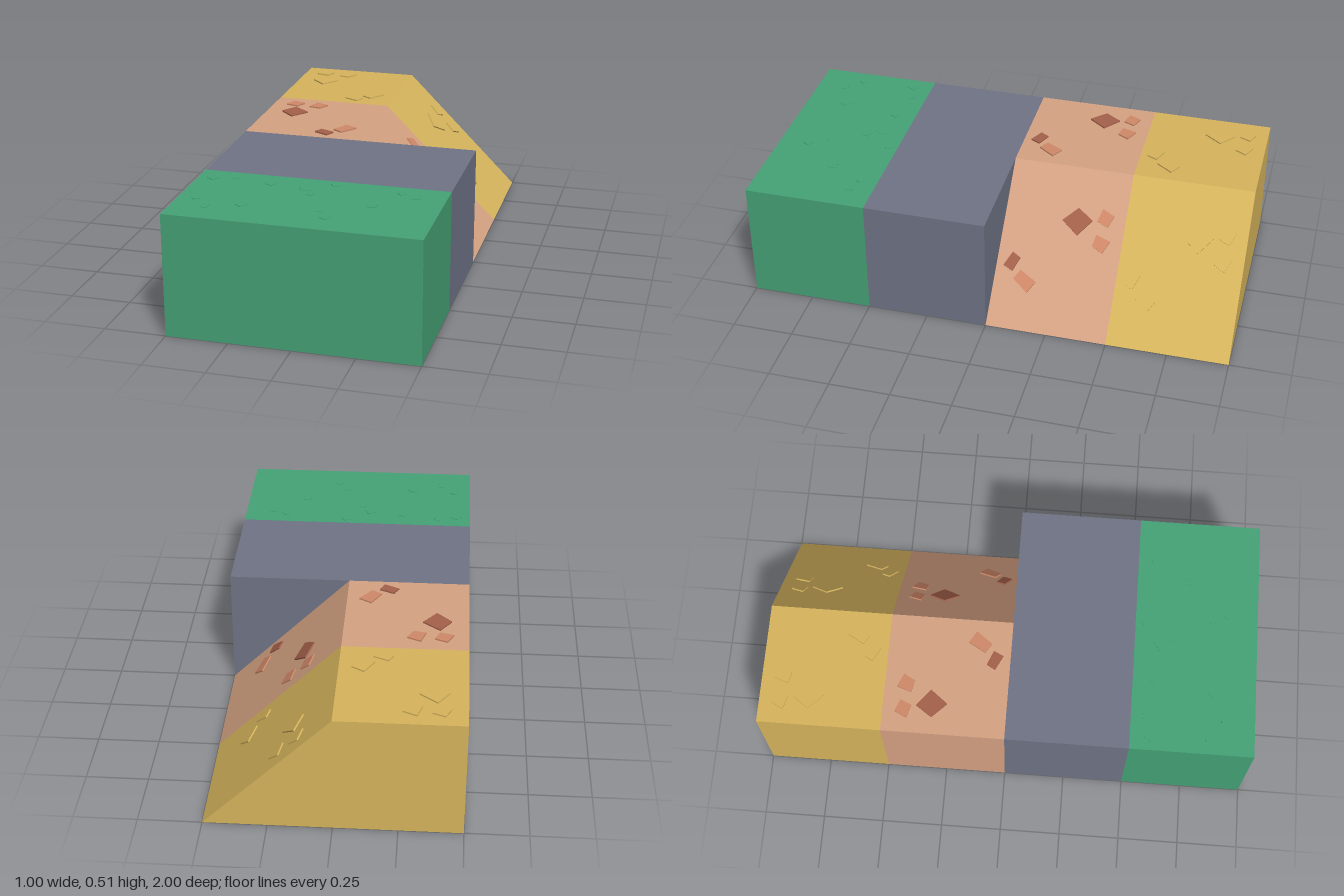
import * as THREE from 'three';

const mat = (name, color) => {
  const m = new THREE.MeshStandardMaterial({ color });
  m.name = name;
  return m;
};

// Stone outlines as (across, z) corners on the flat top
const STONES = [
  { tone: 'dark', pts: [[-0.43, -0.30], [-0.385, -0.365], [-0.315, -0.31], [-0.37, -0.24]] },
  { tone: 'light', pts: [[-0.44, -0.40], [-0.415, -0.45], [-0.365, -0.43], [-0.385, -0.385]] },
  { tone: 'light', pts: [[-0.33, -0.39], [-0.31, -0.45], [-0.255, -0.425], [-0.28, -0.38]] },
  { tone: 'light', pts: [[-0.10, -0.08], [-0.14, -0.105], [-0.10, -0.175], [-0.05, -0.145]] },
  { tone: 'dark', pts: [[-0.21, -0.06], [-0.19, -0.095], [-0.13, -0.07], [-0.15, -0.03]] },
];
const SLOPE_SHIFT = 0.6; // the slope repeats the flat pattern, measured down from the ridge

// Centres of the faint tufts on the green top
const TUFTS = [
  [-0.43, 0.81], [-0.37, 0.88], [-0.44, 0.58], [-0.355, 0.56], [-0.2, 0.59], [-0.055, 0.61],
  [-0.02, 0.66], [0.05, 0.54], [0.24, 0.72], [0.32, 0.57], [0.38, 0.6], [-0.24, 0.83],
  [0.06, 0.82], [0.1, 0.88],
];

// Prism from an x-y outline, running from z0 to z0 + 0.5
function segment(name, outline, z0, material) {
  const shape = new THREE.Shape(outline.map(([x, y]) => new THREE.Vector2(x, y)));
  const geo = new THREE.ExtrudeGeometry(shape, { depth: 0.5, bevelEnabled: false });
  geo.translate(0, 0, z0);
  const mesh = new THREE.Mesh(geo, material);
  mesh.name = name;
  return mesh;
}

// Thin plate lying in the x-z plane
function plate(name, pts, height, material) {
  const shape = new THREE.Shape(pts.map(([x, z]) => new THREE.Vector2(x, -z)));
  const geo = new THREE.ExtrudeGeometry(shape, { depth: height, bevelEnabled: false });
  geo.rotateX(-Math.PI / 2);
  const mesh = new THREE.Mesh(geo, material);
  mesh.name = name;
  return mesh;
}

// One set of five stones
function stoneSet(name, shift, tones) {
  const group = new THREE.Group();
  group.name = name;
  for (const { tone, pts } of STONES) {
    group.add(plate('stone', pts.map(([x, z]) => [x + shift, z]), 0.006, tones[tone]));
  }
  return group;
}

export function createModel() {
  const green = mat('grass green', 0x45a276);
  const slate = mat('slate grey', 0x707486);
  const clay = mat('clay', 0xd6a283);
  const sand = mat('sand yellow', 0xd7b55d);
  const lightStone = mat('light clay stone', 0xcf8968);
  const darkStone = mat('dark clay stone', 0xa5614a);

  const model = new THREE.Group();
  model.name = 'terrainBlocks';

  // Full blocks in front, sloped blocks behind
  const block = [[-0.5, 0], [0.5, 0], [0.5, 0.5], [-0.5, 0.5]];
  const ramp = [[-0.5, 0], [0.5, 0], [0, 0.5], [-0.5, 0.5]];
  model.add(
    segment('grassBlock', block, 0.5, green),
    segment('slateBlock', block, 0, slate),
    segment('clayRamp', ramp, -0.5, clay),
    segment('sandRamp', ramp, -1, sand),
  );

  // Stones on the flat top and on the slope of each ramp
  const sets = [
    ['clay', 0, { light: lightStone, dark: darkStone }],
    ['sand', -0.5, { light: sand, dark: sand }],
  ];
  for (const [name, z, tones] of sets) {
    const flat = stoneSet(name + 'TopStones', 0, tones);
    flat.position.set(0, 0.5, z);
    const slope = stoneSet(name + 'SlopeStones', SLOPE_SHIFT, tones);
    slope.position.set(0, 0.5, z);
    slope.rotation.z = -Math.PI / 4;
    model.add(flat, slope);
  }

  // Grass tufts
  const tufts = new THREE.Group();
  tufts.name = 'grassTufts';
  TUFTS.forEach(([x, z], i) => {
    const r = 0.018 + 0.004 * (i % 3);
    const pts = [0, 1, 2, 3].map((k) => {
      const a = i * 0.7 + (k * Math.PI) / 2;
      return [x + r * Math.cos(a), z + r * Math.sin(a)];
    });
    tufts.add(plate('tuft', pts, 0.002, green));
  });
  tufts.position.y = 0.5;
  model.add(tufts);

  return model;
}
